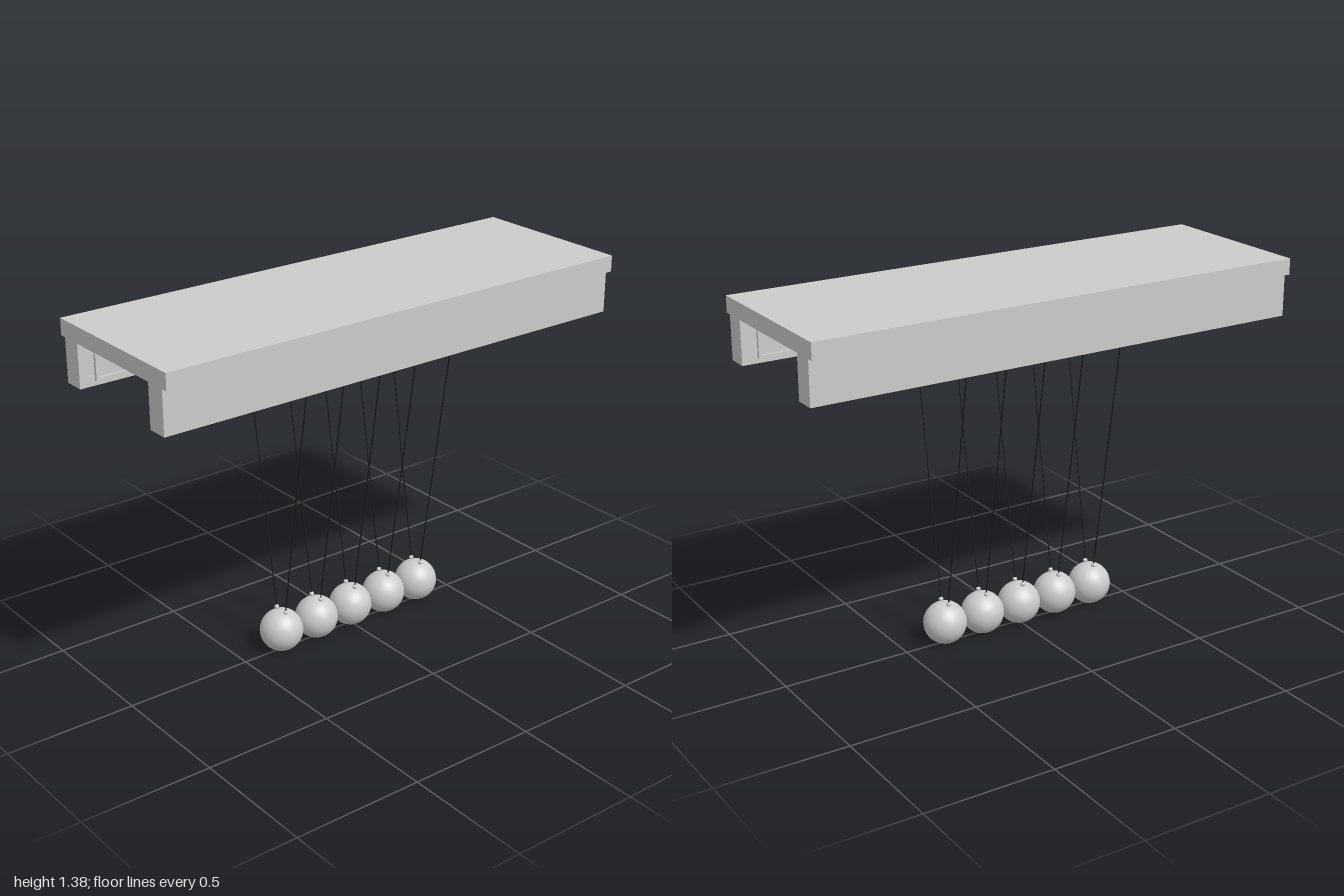
import * as THREE from 'three';

const grey = new THREE.MeshStandardMaterial({ color: 0xcccccc });
const black = new THREE.MeshStandardMaterial({ color: 0x1a1a1a });
const cream = new THREE.MeshStandardMaterial({ color: 0xd8cfa8 });

function add(parent, name, geometry, material, x, y, z) {
  const mesh = new THREE.Mesh(geometry, material);
  mesh.name = name;
  mesh.position.set(x, y, z);
  parent.add(mesh);
  return mesh;
}

// Box given by its lower and upper limits on each axis
function box(parent, name, [x0, x1], [y0, y1], [z0, z1], material = grey) {
  const geometry = new THREE.BoxGeometry(x1 - x0, y1 - y0, Math.abs(z1 - z0));
  return add(parent, name, geometry, material, (x0 + x1) / 2, (y0 + y1) / 2, (z0 + z1) / 2);
}

// Thin round bar between two points
function rod(parent, name, a, b, radius, material, sides) {
  const geometry = new THREE.CylinderGeometry(radius, radius, a.distanceTo(b), sides);
  const mid = a.clone().lerp(b, 0.5);
  const mesh = add(parent, name, geometry, material, mid.x, mid.y, mid.z);
  mesh.quaternion.setFromUnitVectors(new THREE.Vector3(0, 1, 0), b.clone().sub(a).normalize());
  return mesh;
}

export function createModel() {
  const model = new THREE.Group();
  model.name = 'pendulumRow';

  // Top board and the pale strip under it
  box(model, 'topBoard', [-1, 1], [1.322, 1.385], [-0.333, 0.333]);
  box(model, 'lightStrip', [-0.47, 0.47], [1.315, 1.323], [-0.05, 0.05], cream);

  // Side rails with a raised frame on the inner face
  for (const s of [1, -1]) {
    const rail = new THREE.Group();
    rail.name = s > 0 ? 'frontRail' : 'backRail';
    model.add(rail);
    box(rail, 'railBeam', [-1, 1], [1.155, 1.322], [s * 0.225, s * 0.307]);
    const depth = [s * 0.214, s * 0.226];
    box(rail, 'frameTop', [-0.94, 0.94], [1.308, 1.322], [s * 0.202, s * 0.226]);
    box(rail, 'frameBottom', [-0.94, 0.94], [1.173, 1.185], depth);
    for (const e of [-1, 1]) {
      box(rail, 'frameEnd', [e * 0.934 - 0.006, e * 0.934 + 0.006], [1.185, 1.308], depth);
    }
  }

  // Hanging balls, each on two strings forming a V
  const radius = 0.083;
  const ballGeometry = new THREE.SphereGeometry(radius, 48, 32);
  const knobGeometry = new THREE.SphereGeometry(0.009, 16, 12);
  const tipGeometry = new THREE.SphereGeometry(0.008, 16, 12);
  for (let i = -2; i <= 2; i++) {
    const x = i * radius * 2;
    const pendulum = new THREE.Group();
    pendulum.name = 'pendulum';
    model.add(pendulum);
    add(pendulum, 'ball', ballGeometry, grey, x, radius, 0);
    for (const s of [1, -1]) {
      const tip = new THREE.Vector3(x, 1.228, s * 0.195);
      const knob = new THREE.Vector3(x, 0.168, s * 0.028);
      rod(pendulum, 'peg', new THREE.Vector3(x, 1.228, s * 0.23), tip, 0.004, grey, 12);
      add(pendulum, 'pegTip', tipGeometry, grey, ...tip);
      add(pendulum, 'knob', knobGeometry, grey, ...knob);
      rod(pendulum, 'string', tip, knob, 0.0025, black, 8);
    }
  }
  return model;
}
